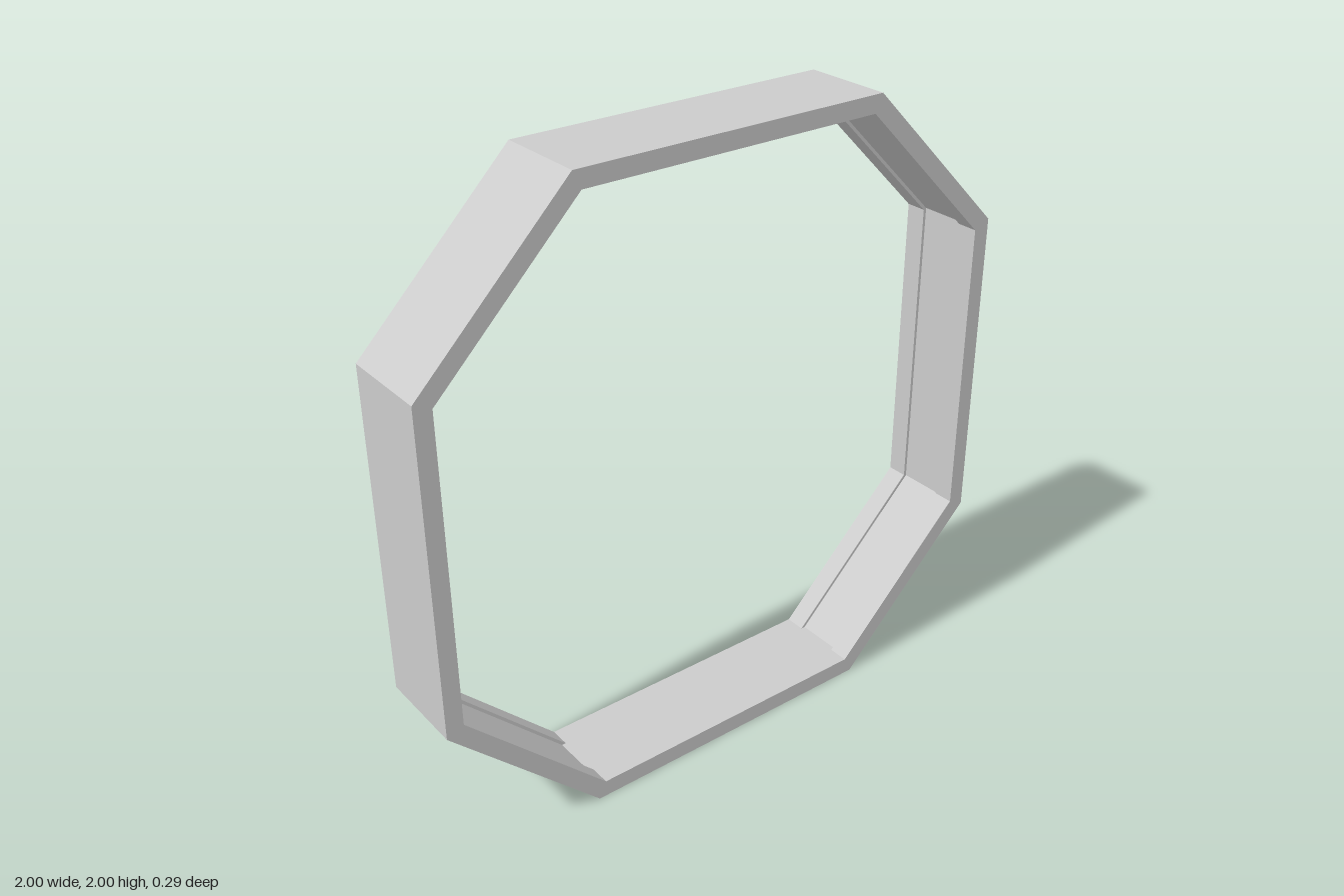
import * as THREE from 'three';

// Octagon corners, counter-clockwise: a flat top and bottom, upright sides and diagonals
function octagon(side, sideCorner, top, topCorner) {
  const quarter = [[side, sideCorner], [topCorner, top]];
  const right = [[side, -sideCorner], ...quarter, [-topCorner, top]];
  return [...right, ...right.map(([x, y]) => [-x, -y])];
}

export function createModel() {
  const group = new THREE.Group();
  const half = 0.145, lip = 0.077;
  const outer = octagon(1, 0.515, 1, 0.515);
  const inner = octagon(0.945, 0.49, 0.945, 0.49);
  // Shallow groove in the sides and diagonals, flush at top and bottom
  const groove = octagon(0.955, 0.494, 0.945, 0.504);

  // Closed cross-section of the frame: [octagon, z]
  const rings = [
    [outer, -half], [outer, half],
    [inner, half], [inner, lip],
    [groove, lip], [groove, -lip],
    [inner, -lip], [inner, -half],
  ];

  const positions = [];
  const corner = ([shape, z], i) => {
    const [x, y] = shape[i % 8];
    return [x, y + 1, z];
  };
  rings.forEach((a, r) => {
    const b = rings[(r + 1) % rings.length];
    for (let i = 0; i < 8; i++) {
      const p = corner(a, i), q = corner(a, i + 1);
      const s = corner(b, i + 1), t = corner(b, i);
      positions.push(...p, ...q, ...s, ...p, ...s, ...t);
    }
  });

  const geometry = new THREE.BufferGeometry();
  geometry.setAttribute('position', new THREE.Float32BufferAttribute(positions, 3));
  geometry.computeVertexNormals();

  const frame = new THREE.Mesh(
    geometry,
    new THREE.MeshStandardMaterial({ color: 0xcccccc, flatShading: true })
  );
  frame.name = 'octagonalFrame';
  group.add(frame);
  return group;
}
